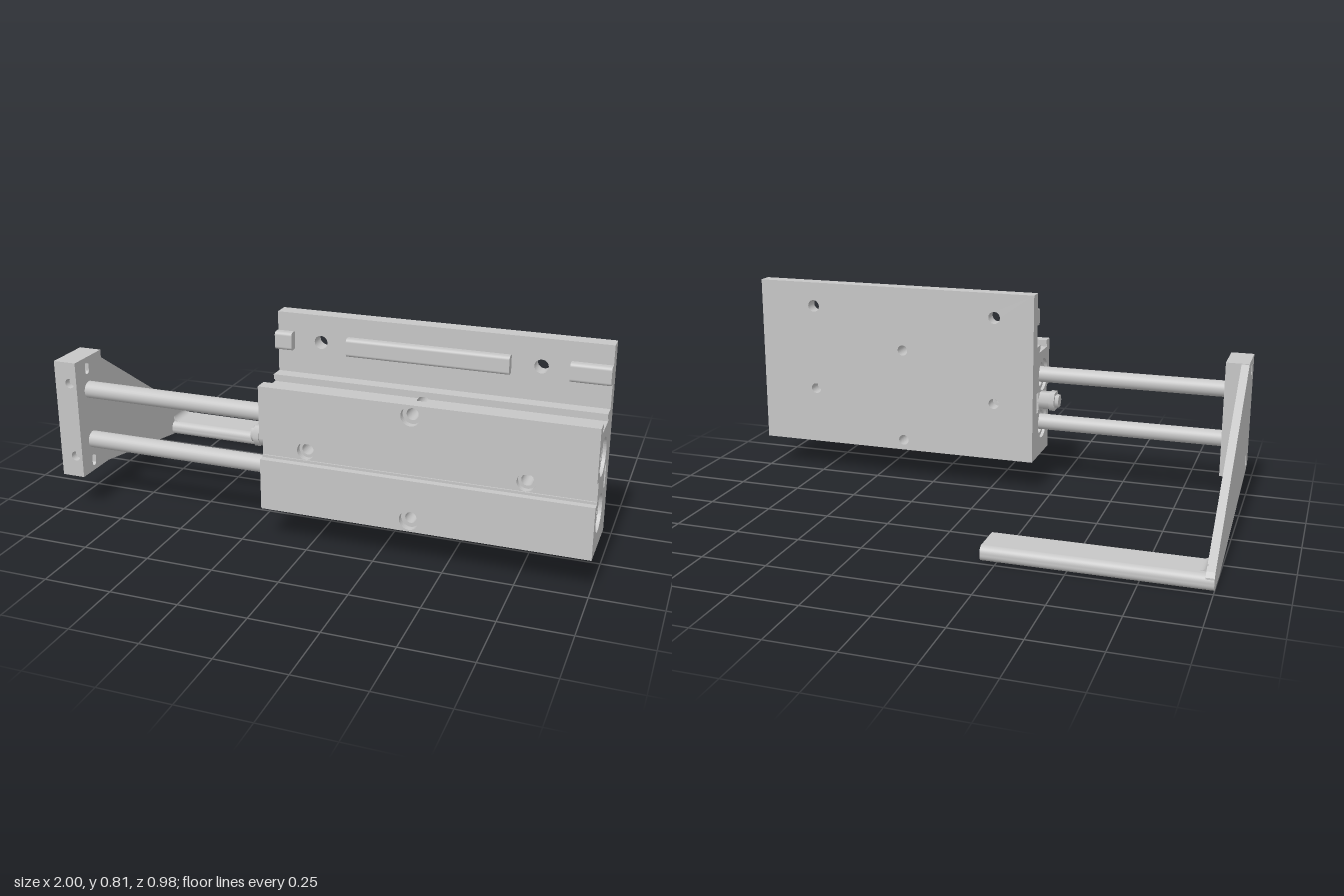
import * as THREE from 'three';

const grey = new THREE.MeshStandardMaterial({ color: 0xc6c6c6 });
grey.name = 'light machined grey';

const X0 = -0.176, X1 = 1;           // housing ends
const MID = 0.375;                   // centre screw position
const SIDE = [-0.014, 0.766];        // outer screw positions
const BORES = [0.261, 0.461];        // bore heights
const BZ = 0.395;                    // bore depth position
const HOLE_Y = [0.172, 0.361, 0.552]; // screw heights

function circle(x, y, r) {
  const p = new THREE.Path();
  p.absarc(x, y, r, 0, Math.PI * 2, true);
  return p;
}

function rect(x0, x1, y0, y1, holes = []) {
  const s = new THREE.Shape();
  s.moveTo(x0, y0).lineTo(x1, y0).lineTo(x1, y1).lineTo(x0, y1).closePath();
  s.holes = holes.map(h => (h instanceof THREE.Path ? h : circle(...h)));
  return s;
}

function rounded(x0, x1, y0, y1, r) {
  const s = new THREE.Shape();
  s.absarc(x1 - r, y0 + r, r, -Math.PI / 2, 0);
  s.absarc(x1 - r, y1 - r, r, 0, Math.PI / 2);
  s.absarc(x0 + r, y1 - r, r, Math.PI / 2, Math.PI);
  s.absarc(x0 + r, y0 + r, r, Math.PI, Math.PI * 1.5);
  s.closePath();
  return s;
}

export function createModel() {
  const model = new THREE.Group();
  const group = name => {
    const g = new THREE.Group();
    g.name = name;
    model.add(g);
    return g;
  };
  const add = (parent, name, geo) => {
    const m = new THREE.Mesh(geo, grey);
    m.name = name;
    parent.add(m);
  };
  const extrude = (shape, depth) =>
    new THREE.ExtrudeGeometry(shape, { depth, bevelEnabled: false, curveSegments: 20 });
  // Extrusions along each axis; alongX shapes use (-z, y), alongY shapes use (x, -z)
  const alongZ = (g, name, shape, z0, z1) => add(g, name, extrude(shape, z1 - z0).translate(0, 0, z0));
  const alongX = (g, name, shape, x0, x1) =>
    add(g, name, extrude(shape, x1 - x0).rotateY(Math.PI / 2).translate(x0, 0, 0));
  const alongY = (g, name, shape, y0, y1) =>
    add(g, name, extrude(shape, y1 - y0).rotateX(-Math.PI / 2).translate(0, y0, 0));
  const box = (g, name, x0, x1, y0, y1, z0, z1) =>
    add(g, name, new THREE.BoxGeometry(x1 - x0, y1 - y0, z1 - z0)
      .translate((x0 + x1) / 2, (y0 + y1) / 2, (z0 + z1) / 2));
  const rod = (g, name, r, x0, x1, y, z, sides = 32) =>
    add(g, name, new THREE.CylinderGeometry(r, r, x1 - x0, sides)
      .rotateZ(Math.PI / 2).translate((x0 + x1) / 2, y, z));

  // Tall mounting plate with six through holes
  const r = 0.021;
  const [lowY, midY, highY] = HOLE_Y;
  const plate = group('mountingPlate');
  alongZ(plate, 'plate', rect(X0, X1, 0.13, 0.81, [
    ...SIDE.map(x => [x, 0.712, 0.024]), ...SIDE.map(x => [x, midY, r]),
    [MID, highY, r], [MID, lowY, r]]), 0.243, 0.30);
  for (const [a, b] of [[X0, -0.113], [0.09, 0.665], [0.865, X1]])
    alongX(plate, 'raisedBar', rounded(-0.333, -0.295, 0.679, 0.744, 0.012), a, b);

  // Housing: rear wall and front wall in strips, leaving a slot between them
  const body = group('housing');
  const walls = (side, z0, z1, rad) => {
    alongZ(body, side + 'LowerWall', rect(X0, X1, 0.13, 0.319, [[MID, lowY, rad]]), z0, z1);
    alongZ(body, side + 'UpperWall', rect(X0, X1, 0.401, 0.592, [[MID, highY, rad]]), z0, z1);
  };
  walls('rear', 0.30, 0.327, r);
  walls('front', 0.463, 0.488, 0.035);

  // Housing core: bottom band with screw holes from below
  alongZ(body, 'bottomCore', rect(0.25, 0.5, 0.13, 0.194, [[MID, lowY, r - 0.001]]), 0.327, 0.463);
  for (const [a, b, x] of [[X0, 0.25, 0.03], [0.5, X1, 0.91]])
    alongY(body, 'bottomCore', rect(a, b, -0.463, -0.327, [[x, -0.4, 0.022]]), 0.13, 0.194);

  // Bands around the two bores, each with a stepped end plug and guide rod
  for (const y of BORES) {
    alongX(body, 'boreBand', rect(-0.463, -0.327, y - 0.067, y + 0.067, [[-BZ, y, 0.066]]), X0, X1);
    const ring = new THREE.Shape();
    ring.absarc(-BZ, y, 0.0665, 0, Math.PI * 2);
    ring.holes.push(circle(-BZ, y, 0.05));
    alongX(body, 'boreRing', ring, X0 + 0.012, X1 - 0.012);
    rod(body, 'borePlug', 0.0505, X0 + 0.035, X1 - 0.04, y, BZ);
    rod(model, 'guideRod', 0.032, -0.93, X0 + 0.05, y, BZ);
  }

  // Middle band with counterbored screw holes
  const middle = rad => rect(X0, X1, 0.328, 0.394, SIDE.map(x => [x, midY, rad]));
  alongZ(body, 'middleCore', middle(r), 0.332, 0.435);
  alongZ(body, 'middleCounterbore', middle(0.032), 0.435, 0.458);

  // Top band: slot floor cut open by the centre screw, side cheeks and lips
  const floor = new THREE.Shape();
  const cut = Math.asin((0.563 - highY) / r);
  floor.moveTo(X0, 0.563).lineTo(X0, 0.528).lineTo(X1, 0.528).lineTo(X1, 0.563);
  floor.absarc(MID, highY, r, cut, Math.PI - cut, true);
  floor.closePath();
  alongZ(body, 'topSlotFloor', floor, 0.338, 0.452);
  for (const [a, b] of [[0.327, 0.338], [0.452, 0.463]])
    alongZ(body, 'topSlotCheek', rect(X0, X1, 0.528, 0.592, [[MID, highY, r]]), a, b);
  box(body, 'topSlotLip', X0, X1, 0.574, 0.592, 0.338, 0.35);
  box(body, 'topSlotLip', X0, X1, 0.574, 0.592, 0.439, 0.452);

  // Adjusting nut on the rod side
  const nut = group('adjustingNut');
  for (const [a, b, h] of [[-0.255, -0.24, 0.028], [-0.24, -0.218, 0.043], [-0.218, -0.17, 0.038]])
    rod(nut, 'nutStep', h, a, b, 0.362, 0.366, 6);

  // End block: slotted rear section and drilled front section
  const end = group('endBlock');
  const slot = y => rounded(-0.412, -0.388, y - 0.023, y + 0.023, 0.0115);
  alongX(end, 'slottedSection', rect(-0.45, -0.30, 0.136, 0.588, [slot(0.546), slot(0.178)]), -1, -0.912);
  alongZ(end, 'drilledSection', rect(-1, -0.912, 0.136, 0.588,
    [[-0.94, 0.507, 0.018], [-0.94, 0.218, 0.018]]), 0.45, 0.478);

  // Tapered bracket plate and the foot bar it carries
  const web = new THREE.Shape([[0.44, 0.13], [0.44, 0.137], [0.30, 0.137], [0.30, 0.585],
    [-0.47, 0.066], [-0.485, 0.05], [-0.486, 0.02], [-0.465, 0.001], [-0.33, 0.001]]
    .map(([z, y]) => new THREE.Vector2(-z, y)));
  alongX(model, 'bracketPlate', web, -1, -0.97);
  alongX(model, 'footBar', rounded(0.322, 0.488, 0, 0.057, 0.025), -1, -0.192);
  // Small inside fillet where the foot meets the bracket
  const fillet = new THREE.Shape();
  fillet.moveTo(-0.975, 0.05).lineTo(-0.945, 0.05).lineTo(-0.945, 0.057);
  fillet.absarc(-0.945, 0.082, 0.025, -Math.PI / 2, -Math.PI, true);
  fillet.lineTo(-0.975, 0.082).closePath();
  alongZ(model, 'footFillet', fillet, -0.45, -0.342);

  return model;
}
